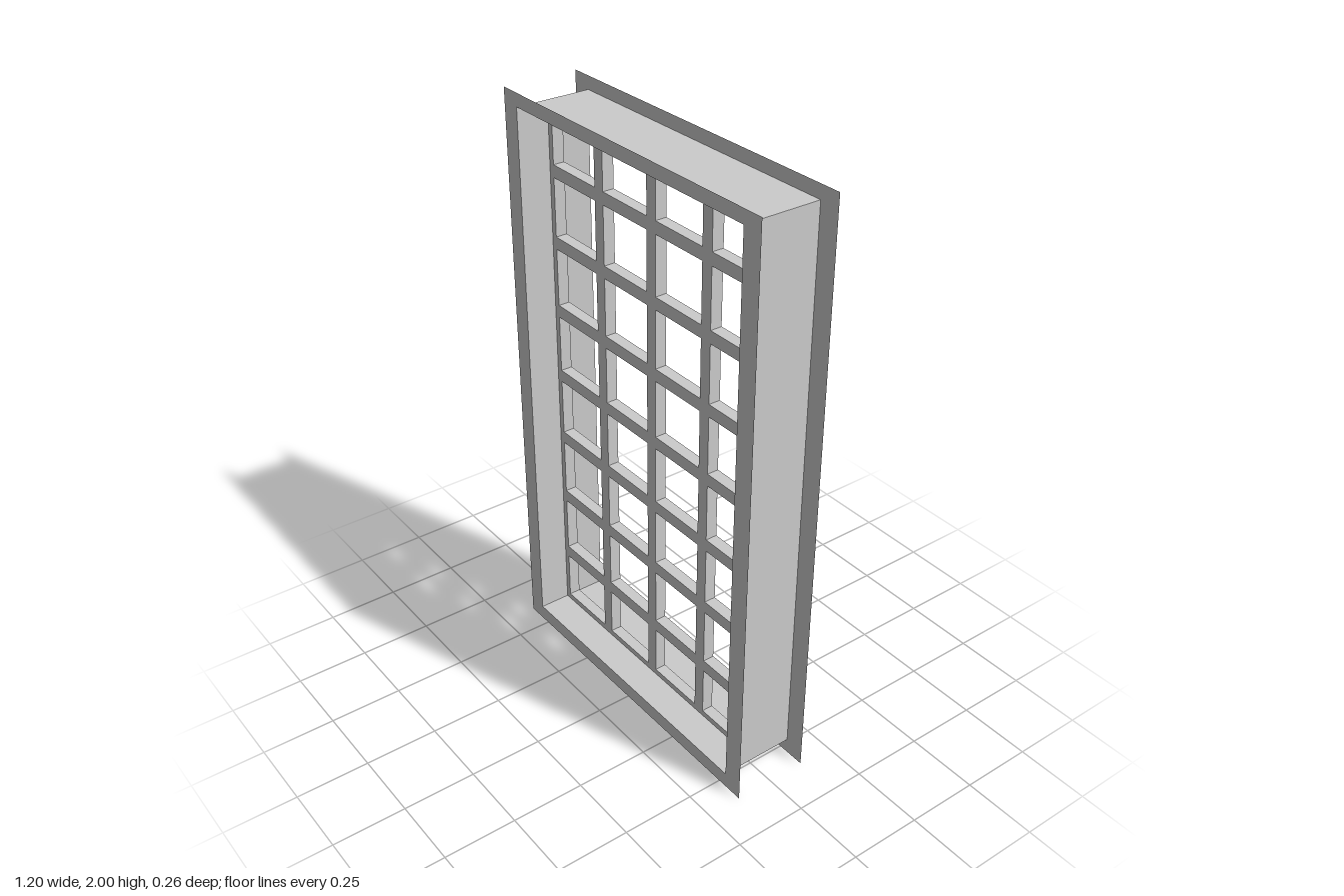
import * as THREE from 'three';

// Sleeve extents and lattice dimensions
const L = -0.533, R = 0.53, B = 0.052, T = 1.955, HALF = 0.13;
const BAR = 0.043, BAR_DEPTH = 0.04;

function rect(Type, x0, y0, x1, y1) {
  const p = new Type();
  p.moveTo(x0, y0);
  p.lineTo(x1, y0);
  p.lineTo(x1, y1);
  p.lineTo(x0, y1);
  p.closePath();
  return p;
}

export function createModel() {
  const model = new THREE.Group();
  model.name = 'windowGrille';
  const solid = new THREE.MeshStandardMaterial({ color: 0xcccccc });
  const sheet = new THREE.MeshStandardMaterial({ color: 0xcccccc, side: THREE.DoubleSide });

  const add = (name, geometry, material, parent = model) => {
    const mesh = new THREE.Mesh(geometry, material);
    mesh.name = name;
    parent.add(mesh);
    return mesh;
  };

  // Thin flanges at front and back
  const flange = rect(THREE.Shape, -0.6, 0, 0.6, 2);
  flange.holes.push(rect(THREE.Path, L, B, R, T));
  const flangeGeometry = new THREE.ShapeGeometry(flange);
  add('frontFlange', flangeGeometry, sheet).position.z = HALF;
  const back = add('backFlange', flangeGeometry, sheet);
  back.position.z = -HALF;

  // Thin sleeve walls joining the flanges
  const sleeve = new THREE.Group();
  sleeve.name = 'sleeve';
  model.add(sleeve);
  const cx = (L + R) / 2, cy = (B + T) / 2;
  for (const [name, x] of [['rightWall', L], ['leftWall', R]]) {
    const wall = add(name, new THREE.PlaneGeometry(2 * HALF, T - B), sheet, sleeve);
    wall.rotation.y = Math.sign(x) * Math.PI / 2;
    wall.position.set(x, cy, 0);
  }
  for (const [name, y, turn] of [['bottomWall', B, 1], ['topWall', T, -1]]) {
    const wall = add(name, new THREE.PlaneGeometry(R - L, 2 * HALF), sheet, sleeve);
    wall.rotation.x = turn * Math.PI / 2;
    wall.position.set(cx, y, 0);
  }

  // Lattice of crossing bars: a plate with one hole per cell
  const columns = [-0.27, -0.009, 0.251];
  const rows = Array.from({ length: 7 }, (_, i) => 0.2675 + 0.2438 * i);
  const cells = (start, centres, end) => {
    const lows = [start, ...centres.map(c => c + BAR / 2)];
    const highs = [...centres.map(c => c - BAR / 2), end];
    return lows.map((low, i) => [low, highs[i]]);
  };
  const lattice = rect(THREE.Shape, L, B, R, T);
  for (const [x0, x1] of cells(-0.513, columns, 0.508)) {
    for (const [y0, y1] of cells(0.072, rows, 1.907)) {
      lattice.holes.push(rect(THREE.Path, x0, y0, x1, y1));
    }
  }
  const latticeGeometry = new THREE.ExtrudeGeometry(lattice, { depth: BAR_DEPTH, bevelEnabled: false });
  add('lattice', latticeGeometry, solid).position.z = -BAR_DEPTH / 2;

  return model;
}
